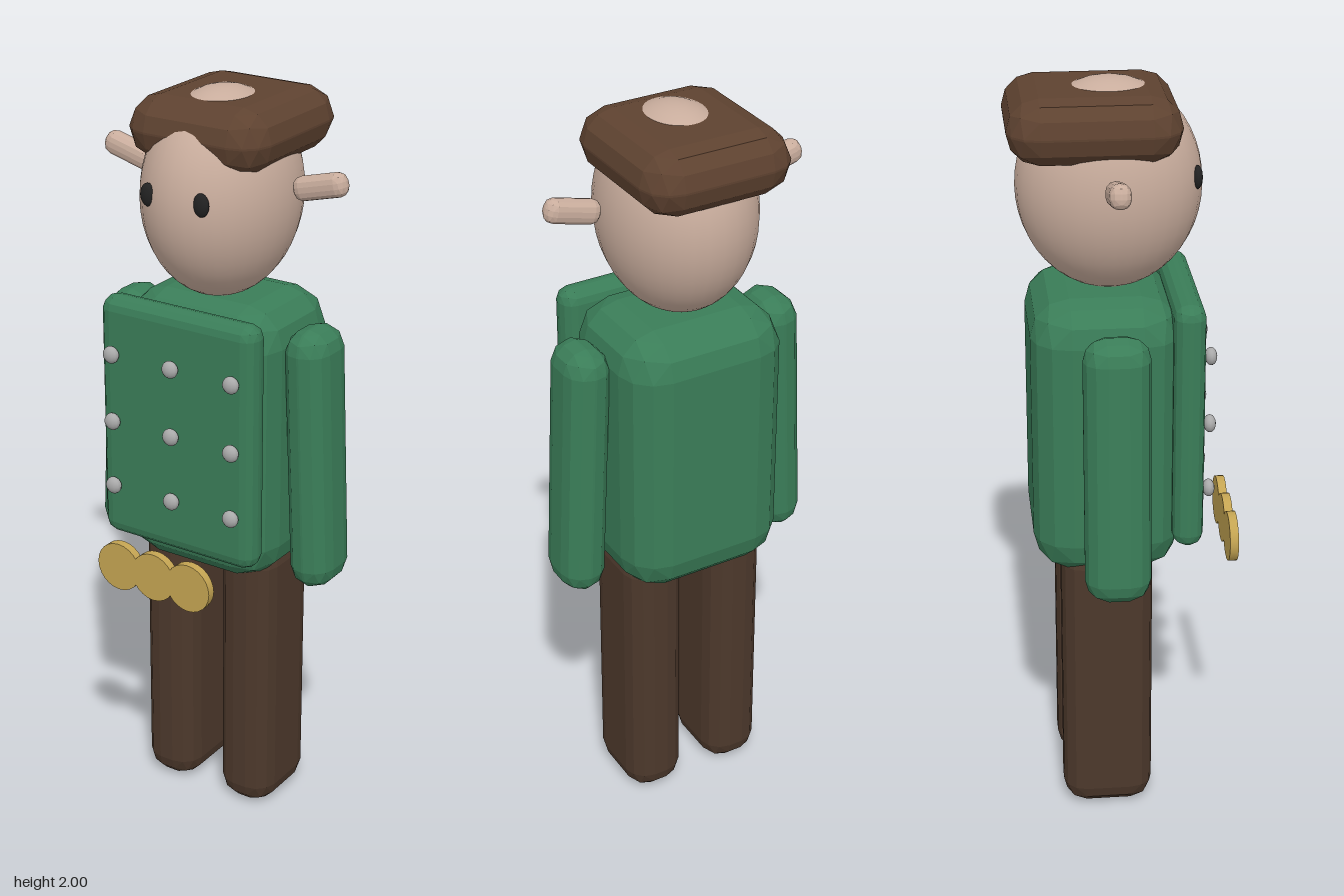
import * as THREE from 'three';
import { ConvexGeometry } from 'three/addons/geometries/ConvexGeometry.js';

const mat = (color, flatShading = false) => new THREE.MeshStandardMaterial({ color, flatShading });
const skin = mat(0xc9ad9d), skinFlat = mat(0xc9ad9d, true);
const coat = mat(0x3a7d58, true), trousers = mat(0x4c382b, true), cap = mat(0x5e4230, true);
const dark = mat(0x222222), silver = mat(0xaaaaaa), gold = mat(0xc4a452);

// Box with three-step rounded edges: the hull of eight sphere octants
function softBox(w, h, d, r) {
  const points = [];
  const s = (i) => Math.sin((i * Math.PI) / 6);
  for (const sx of [-1, 1]) for (const sy of [-1, 1]) for (const sz of [-1, 1]) {
    for (let i = 0; i <= 3; i++) for (let j = 0; j <= 3 - i; j++) {
      const n = new THREE.Vector3(s(i), s(j), s(3 - i - j)).normalize().multiplyScalar(r);
      points.push(new THREE.Vector3(sx * (w / 2 - r + n.x), sy * (h / 2 - r + n.y), sz * (d / 2 - r + n.z)));
    }
  }
  return new ConvexGeometry(points);
}

function ellipsoid(rx, ry, rz, ws = 16, hs = 12) {
  return new THREE.SphereGeometry(1, ws, hs).scale(rx, ry, rz);
}

export function createModel() {
  const model = new THREE.Group();
  const add = (name, geometry, material, x, y, z, tilt = 0) => {
    const mesh = new THREE.Mesh(geometry, material);
    mesh.name = name;
    mesh.position.set(x, y, z);
    mesh.rotation.z = tilt;
    model.add(mesh);
  };

  // Head and flat cap, the crown of the head just showing through
  add('head', ellipsoid(0.195, 0.27, 0.235, 32, 24), skin, 0, 1.73, -0.035);
  add('cap', softBox(0.4, 0.165, 0.43, 0.08), cap, 0, 1.897, -0.078);

  // Coat body and raised front panel
  add('torso', softBox(0.45, 0.75, 0.38, 0.1), coat, 0, 1.095, -0.055);
  add('coatFront', softBox(0.466, 0.665, 0.08, 0.035), coat, 0, 1.138, 0.15);

  // Paired parts
  for (const side of [-1, 1]) {
    const label = side > 0 ? 'left' : 'right';
    add(label + 'Ear', softBox(0.15, 0.062, 0.053, 0.024), skinFlat, side * 0.284, 1.787, -0.037, side * 0.26);
    add(label + 'Eye', ellipsoid(0.022, 0.03, 0.013), dark, side * 0.078, 1.76, 0.178);
    add(label + 'Arm', softBox(0.122, 0.71, 0.17, 0.058), coat, side * 0.288, 1.065, -0.04, side * 0.045);
    add(label + 'Leg', softBox(0.16, 0.8, 0.24, 0.06), trousers, side * 0.122, 0.4, -0.055);
  }

  // Three rows of buttons
  for (const y of [1.325, 1.14, 0.958]) {
    for (const x of [-0.182, 0, 0.182]) {
      add('button', ellipsoid(0.023, 0.023, 0.016, 12, 8), silver, x, y, 0.205);
    }
  }

  // Buckle of three overlapping discs
  for (const x of [-0.108, 0, 0.108]) {
    add('buckleDisc', new THREE.CylinderGeometry(0.066, 0.066, 0.023, 24).rotateX(Math.PI / 2), gold, x, 0.775, 0.279);
  }
  return model;
}
